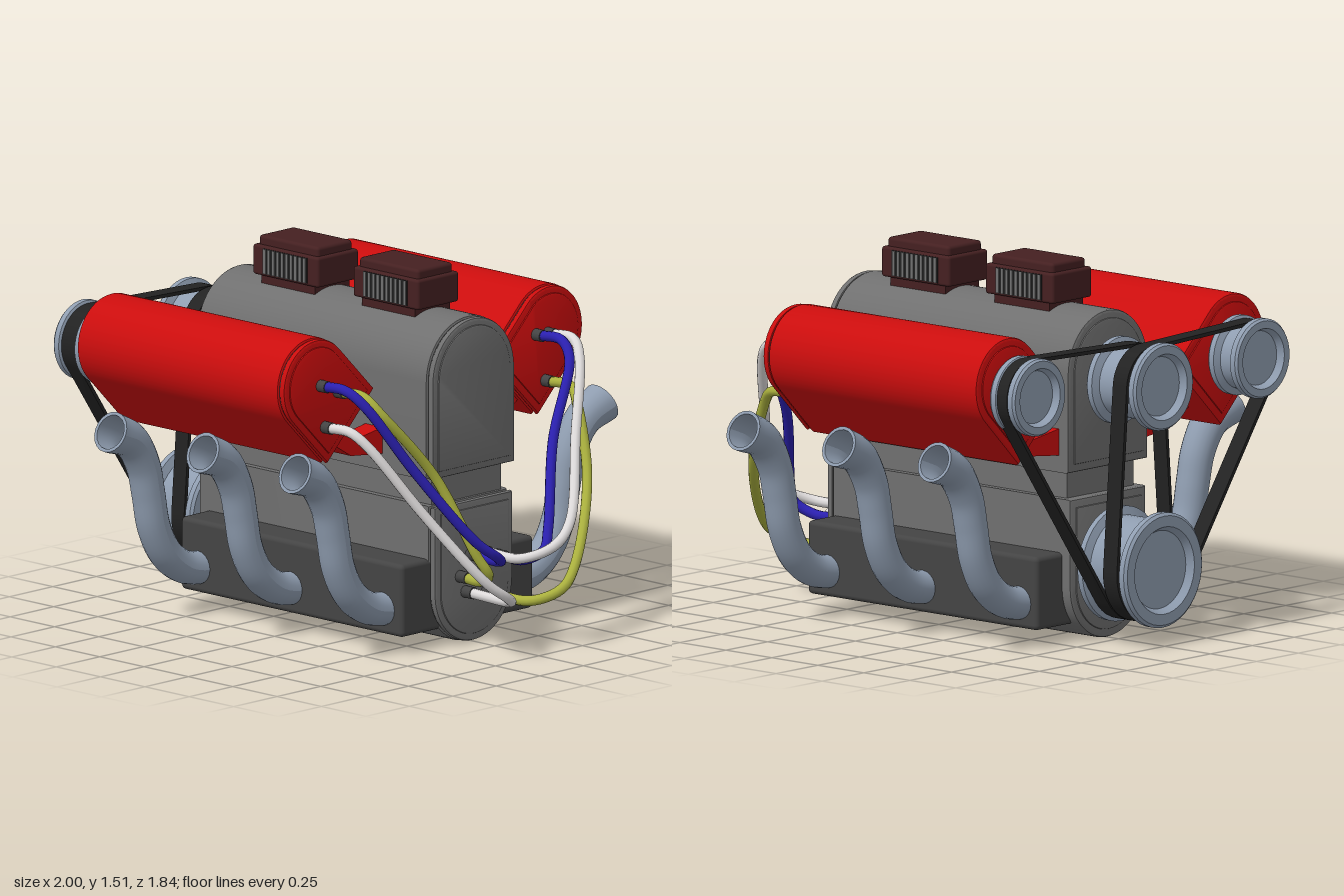
import * as THREE from 'three';
import { toCreasedNormals } from 'three/addons/utils/BufferGeometryUtils.js';
import { RoundedBoxGeometry } from 'three/addons/geometries/RoundedBoxGeometry.js';

const paint = (name, color, side = THREE.FrontSide) => {
  const m = new THREE.MeshStandardMaterial({ color, side });
  m.name = name;
  return m;
};

export function createModel() {
  const block = paint('block grey', 0x707070);
  const dark = paint('dark grey', 0x444444);
  const red = paint('cover red', 0xcc0d0d);
  const steel = paint('blue steel', 0x8f9db0, THREE.DoubleSide);
  const brown = paint('intake brown', 0x452021);
  const rubber = paint('belt black', 0x222222);
  const blue = paint('wire blue', 0x2b20b0);
  const white = paint('wire white', 0xdddada);
  const yellow = paint('wire yellow', 0xaab03e);

  const model = new THREE.Group();
  const add = (name, geometry, material, parent = model, x = 0, y = 0, z = 0) => {
    const mesh = new THREE.Mesh(geometry, material);
    mesh.name = name;
    mesh.position.set(x, y, z);
    parent.add(mesh);
    return mesh;
  };

  // Extrude a (z, y) outline along x, with an optional bevel that keeps the size
  const extrudeX = (shape, x0, x1, bevel = 0) => {
    const g = new THREE.ExtrudeGeometry(shape, {
      depth: x1 - x0 - 2 * bevel, curveSegments: 24, bevelEnabled: bevel > 0,
      bevelSize: bevel, bevelThickness: bevel, bevelOffset: -bevel, bevelSegments: 2,
    });
    g.rotateY(-Math.PI / 2).translate(x1 - bevel, 0, 0);
    return toCreasedNormals(g, 0.6);
  };

  // Round-topped outline around the centre of its arc
  const arch = (r, length) => {
    const s = new THREE.Shape();
    s.moveTo(-r, -length);
    s.lineTo(r, -length);
    s.absarc(0, 0, r, 0, Math.PI, false);
    s.closePath();
    return s;
  };

  // Arched housing: body, recessed seam, end cap and raised end panels
  const housing = (name, r, length, x0, x1, y, z, tilt, material) => {
    const g = new THREE.Group();
    g.name = name;
    g.position.set(0, y, z);
    g.rotation.x = tilt;
    add('body', extrudeX(arch(r, length), x0 + 0.006, x1 - 0.04, 0.012), material, g);
    add('seam', extrudeX(arch(r - 0.012, length - 0.012), x1 - 0.06, x1 - 0.02), dark, g);
    add('endCap', extrudeX(arch(r - 0.004, length - 0.004), x1 - 0.036, x1 - 0.006, 0.012), material, g);
    add('endPanels', extrudeX(arch(r - 0.034, length - 0.034), x0, x1, 0.005), material, g);
    model.add(g);
  };

  // Engine block
  housing('upperBlock', 0.24, 0.4, -0.7, 0.64, 1.1, 0, 0, block);
  housing('lowerBlock', 0.228, 0.362, -0.7, 0.64, 0.228, 0, Math.PI, block);
  add('neck', new THREE.BoxGeometry(1.24, 0.16, 0.4), block, model, -0.03, 0.645, 0);
  add('sideBox', new RoundedBoxGeometry(1.25, 0.3, 0.76, 3, 0.02), dark, model, -0.025, 0.22, 0);

  // Exhaust tube with a flared open mouth
  const pipe = (curve, radius) => {
    const seg = 40, radial = 20;
    const g = new THREE.TubeGeometry(curve, seg, radius, radial, false);
    const p = g.attributes.position, v = new THREE.Vector3();
    for (let i = 0; i <= seg; i++) {
      const c = curve.getPointAt(i / seg);
      const k = 1 + 0.25 * Math.pow(i / seg, 6);
      for (let j = 0; j <= radial; j++) {
        const n = i * (radial + 1) + j;
        v.fromBufferAttribute(p, n).sub(c).multiplyScalar(k).add(c);
        p.setXYZ(n, v.x, v.y, v.z);
      }
    }
    g.computeVertexNormals();
    return g;
  };
  const exhaustPath = [[0.34, 0.175], [0.4, 0.177], [0.48, 0.2], [0.57, 0.27], [0.635, 0.39],
    [0.665, 0.53], [0.695, 0.65], [0.77, 0.765], [0.882, 0.818]];
  const portOutline = [[0.2, 0.885], [0.39, 0.855], [0.46, 0.95], [0.55, 0.87], [0.42, 0.79], [0.2, 0.765]];

  for (const s of [1, -1]) {
    const side = s > 0 ? 'front' : 'back';
    housing(side + 'ValveCover', 0.193, 0.284, -0.765, 0.412, 1.13, 0.67 * s, s * Math.PI / 4, red);

    // Red ports joining the cover to the block
    for (let i = 0; i < 5; i++) {
      const x = -0.595 + 0.225 * i;
      const shape = new THREE.Shape(portOutline.map(([z, y]) => new THREE.Vector2(z * s, y)));
      add(side + 'Port', extrudeX(shape, x - 0.048, x + 0.048), red);
    }

    // Exhaust pipes
    for (const x of [-0.55, -0.03, 0.49]) {
      const g = new THREE.Group();
      g.name = side + 'Exhaust';
      g.position.x = x;
      model.add(g);
      const curve = new THREE.CatmullRomCurve3(exhaustPath.map(([z, y]) => new THREE.Vector3(0, y, z * s)));
      add('outerTube', pipe(curve, 0.068), steel, g);
      add('innerTube', pipe(curve, 0.057), steel, g);
      const end = curve.getPointAt(1);
      const lip = new THREE.RingGeometry(0.057 * 1.25, 0.068 * 1.25, 20);
      lip.applyQuaternion(new THREE.Quaternion().setFromUnitVectors(
        new THREE.Vector3(0, 0, 1), curve.getTangentAt(1)));
      add('lip', lip, steel, g, end.x, end.y, end.z);
    }
  }

  // Air intakes with slatted sides
  for (const x of [-0.315, 0.25]) {
    const g = new THREE.Group();
    g.name = 'airIntake';
    g.position.x = x;
    model.add(g);
    add('base', new THREE.BoxGeometry(0.3, 0.08, 0.2), brown, g, 0, 1.33, 0);
    add('body', new RoundedBoxGeometry(0.37, 0.125, 0.236, 2, 0.012), brown, g, 0, 1.415, 0);
    add('lid', new RoundedBoxGeometry(0.335, 0.06, 0.2, 2, 0.014), brown, g, 0, 1.485, 0);
    for (const s of [1, -1]) {
      add('grille', new THREE.BoxGeometry(0.25, 0.105, 0.004), rubber, g, 0, 1.415, 0.118 * s);
      for (let i = 0; i < 10; i++) {
        add('slat', new THREE.BoxGeometry(0.012, 0.1, 0.007), block, g, -0.1125 + 0.025 * i, 1.415, 0.12 * s);
      }
    }
  }

  // Pulleys turned about the x axis: dished face, belt groove, rear rim and shaft
  const pulley = (name, y, z, r, groove, x0, x1, shaft, xEnd) => {
    const rim = 0.035;
    const profile = [[0, x0 + 0.03], [r * 0.68, x0 + 0.03], [r * 0.76, x0], [r * 0.95, x0], [r, x0 + 0.01],
      [r, x0 + rim], [groove, x0 + rim + 0.012], [groove, x1 - rim - 0.012], [r, x1 - rim],
      [r, x1 - 0.01], [r * 0.95, x1], [shaft, x1], [shaft, xEnd]];
    const g = new THREE.LatheGeometry(profile.map(([a, b]) => new THREE.Vector2(a, b)), 40);
    g.rotateZ(-Math.PI / 2);
    add(name, toCreasedNormals(g, 0.5), steel, model, 0, y, z);
  };
  pulley('crankPulley', 0.31, 0, 0.235, 0.2, -1, -0.73, 0.115, -0.68);
  pulley('centrePulley', 1.06, 0, 0.178, 0.145, -1, -0.73, 0.1, -0.68);
  pulley('frontPulley', 1.09, 0.615, 0.163, 0.135, -0.98, -0.82, 0.085, -0.75);
  pulley('backPulley', 1.09, -0.635, 0.158, 0.135, -0.9, -0.765, 0.085, -0.75);

  // Loop drawn tangent to circles [z, y, r] listed anticlockwise
  const loop = (circles, Type, inset) => {
    const s = new Type(), n = circles.length;
    const leave = circles.map(([z, y, r], i) => {
      const [z2, y2, r2] = circles[(i + 1) % n];
      return Math.atan2(y2 - y, z2 - z) - Math.acos((r - r2) / Math.hypot(z2 - z, y2 - y));
    });
    circles.forEach(([z, y, r], i) => s.absarc(z, y, r - inset, leave[(i + n - 1) % n], leave[i], false));
    s.closePath();
    return s;
  };
  const belt = (name, circles, x0, x1) => {
    const shape = loop(circles, THREE.Shape, 0);
    shape.holes.push(loop(circles, THREE.Path, 0.015));
    add(name, extrudeX(shape, x0, x1), rubber);
  };
  const crank = [0, 0.31, 0.22], centre = [0, 1.06, 0.162];
  belt('frontBelt', [crank, [0.615, 1.09, 0.152], centre], -0.94, -0.865);
  belt('backBelt', [crank, centre, [-0.635, 1.09, 0.152]], -0.857, -0.785);

  // Wires: start [y, z], end [y, z], furthest x, and how far z has moved at two points on the way
  const wires = [
    ['frontBlueWire', blue, [1.13, 0.657], [0.367, 0.034], 0.9, 0.33, 0.67],
    ['frontYellowWire', yellow, [1.09, 0.56], [0.285, 0.09], 0.85, 0.55, 0.8],
    ['frontWhiteWire', white, [0.955, 0.633], [0.217, 0.058], 0.98, 0.32, 0.65],
    ['backBlueWire', blue, [1.135, -0.58], [0.338, -0.125], 0.86, 0.47, 0.8],
    ['backWhiteWire', white, [1.13, -0.647], [0.372, -0.03], 0.94, 0.31, 0.63],
    ['backYellowWire', yellow, [0.937, -0.633], [0.198, -0.058], 0.97, 0.22, 0.66],
  ];
  for (const [name, material, a, b, far, f1, f2] of wires) {
    const at = (x, fy, fz) => new THREE.Vector3(x, a[0] + (b[0] - a[0]) * fy, a[1] + (b[1] - a[1]) * fz);
    const curve = new THREE.CatmullRomCurve3([at(0.43, 0, 0), at(0.56, 0, 0), at(0.63, 0.08, 0.06),
      at(0.58 + (far - 0.58) * 0.5, 0.44, f1), at(far - 0.02, 0.84, f2), at(far, 0.94, (1 + f2) / 2),
      at(far - 0.08, 1, 0.98), at(0.66, 1, 1)]);
    add(name, new THREE.TubeGeometry(curve, 60, 0.021, 10, false), material);
    for (const [x, [y, z]] of [[0.425, a], [0.66, b]]) {
      add('wireSocket', new THREE.CylinderGeometry(0.025, 0.025, 0.06, 12).rotateZ(Math.PI / 2), dark, model, x, y, z);
    }
  }

  return model;
}
